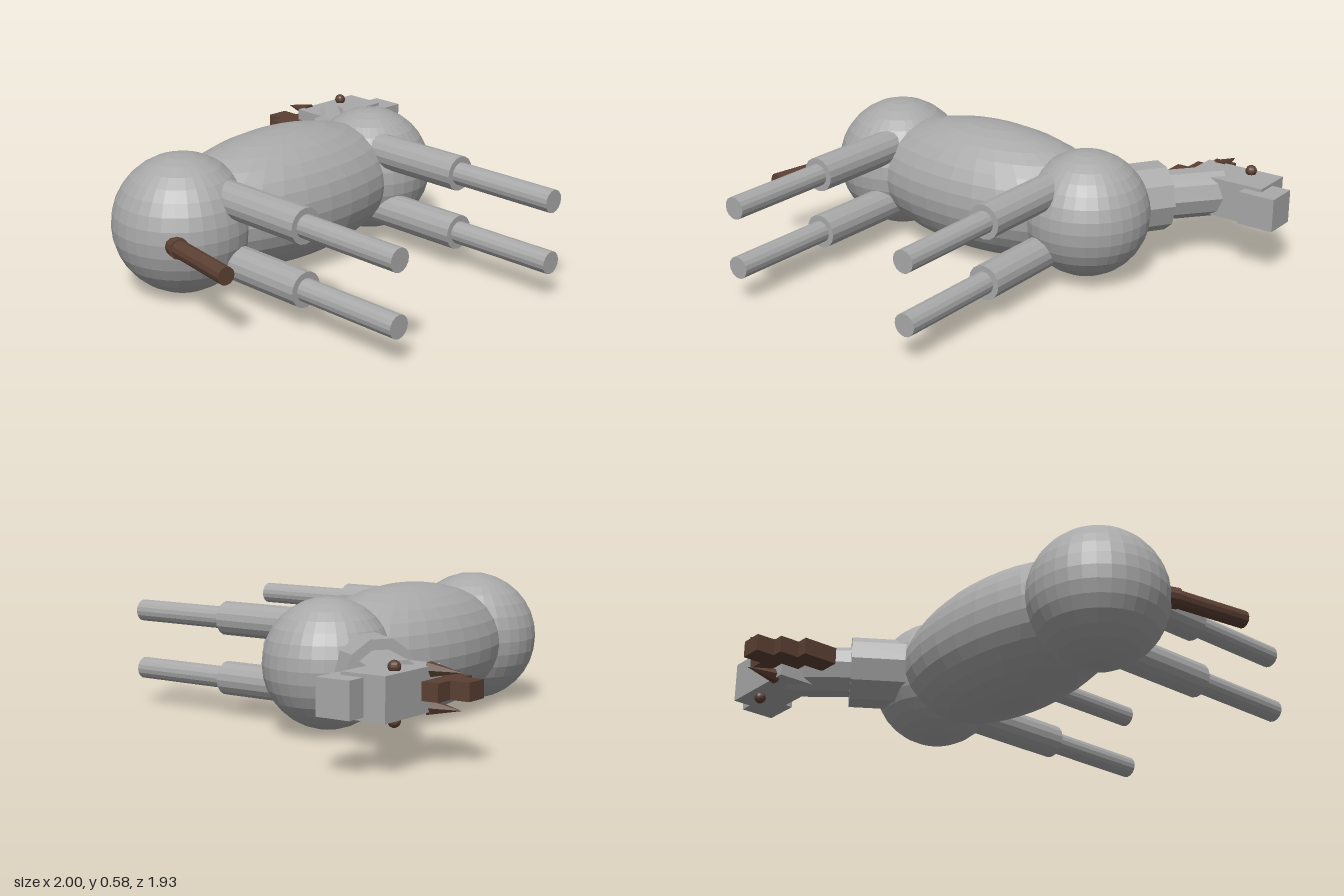
import * as THREE from 'three';

const MID = 0.3; // height of the symmetry plane; the animal lies on its side

export function createModel() {
  const model = new THREE.Group();
  model.name = 'lyingHorse';
  const coat = new THREE.MeshStandardMaterial({ color: 0xa9a9a9, flatShading: true });
  coat.name = 'greyCoat';
  const hair = new THREE.MeshStandardMaterial({ color: 0x5c4033, flatShading: true });
  hair.name = 'brownHair';

  const add = (name, geometry, material, x, y, z) => {
    const mesh = new THREE.Mesh(geometry, material);
    mesh.name = name;
    mesh.position.set(x, y, z);
    model.add(mesh);
    return mesh;
  };
  const ball = (name, material, r, x, y, z, w = 32, h = 16) =>
    add(name, new THREE.SphereGeometry(r, w, h), material, x, y, z);
  // Box given by its x and z ranges and its thickness, centred on the symmetry plane
  const slab = (name, material, x0, x1, z0, z1, t) =>
    add(name, new THREE.BoxGeometry(x1 - x0, t, z1 - z0), material, (x0 + x1) / 2, MID, (z0 + z1) / 2);
  // Cylinder between two [x, z] points at height y; rTop is the radius at the second point
  const rod = (name, material, a, b, r, sides, y = MID, rTop = r) => {
    const dir = new THREE.Vector3(b[0] - a[0], 0, b[1] - a[1]);
    const geometry = new THREE.CylinderGeometry(rTop, r, dir.length(), sides);
    geometry.rotateY(Math.PI / 2);
    // axis to +z first, so that corners point along the height axis
    geometry.rotateX(Math.PI / 2);
    const mesh = add(name, geometry, material, (a[0] + b[0]) / 2, y, (a[1] + b[1]) / 2);
    mesh.rotation.y = Math.atan2(dir.x, dir.z);
    return mesh;
  };

  // Trunk
  ball('barrel', coat, 1, -0.175, MID, -0.16).scale.set(0.64, 0.286, 0.315);
  ball('rump', coat, 0.29, -0.705, MID, -0.175);
  ball('chest', coat, 0.272, 0.347, MID, -0.138);

  // Legs, pointing sideways to +z
  for (const [end, x] of [['hind', -0.627], ['front', 0.266]]) {
    for (const [side, s] of [['Upper', 1], ['Lower', -1]]) {
      const y = MID + s * 0.131;
      rod(`${end}Thigh${side}`, coat, [x, -0.04], [x, 0.47], 0.074, 16, y);
      rod(`${end}Shin${side}`, coat, [x, 0.42], [x, 0.96], 0.048, 16, y);
    }
  }

  // Neck and head
  rod('neckBase', coat, [0.31, -0.23], [0.492, -0.503], 0.152, 10);
  rod('neck', coat, [0.47, -0.47], [0.668, -0.71], 0.108, 10);
  slab('head', coat, 0.55, 0.915, -0.815, -0.62, 0.172);
  slab('muzzle', coat, 0.835, 1.0, -0.72, -0.57, 0.145);
  for (const s of [1, -1]) {
    ball('eye', hair, 0.025, 0.786, MID + s * 0.1, -0.765, 12, 8);
    rod('ear', hair, [0.61, -0.80], [0.61, -0.945], 0.033, 6, MID + s * 0.07, 0);
  }

  // Stepped mane: equal blocks placed by their lower x and z corner
  for (const [x, z] of [[0.40, -0.80], [0.452, -0.887], [0.502, -0.97], [0.583, -0.887]]) {
    slab('maneBlock', hair, x, x + 0.1, z, z + 0.155, 0.072);
  }

  // Tail
  rod('tailBase', hair, [-0.87, -0.06], [-0.913, 0.06], 0.043, 12);
  rod('tail', hair, [-0.905, 0.03], [-0.962, 0.392], 0.037, 12);

  return model;
}
